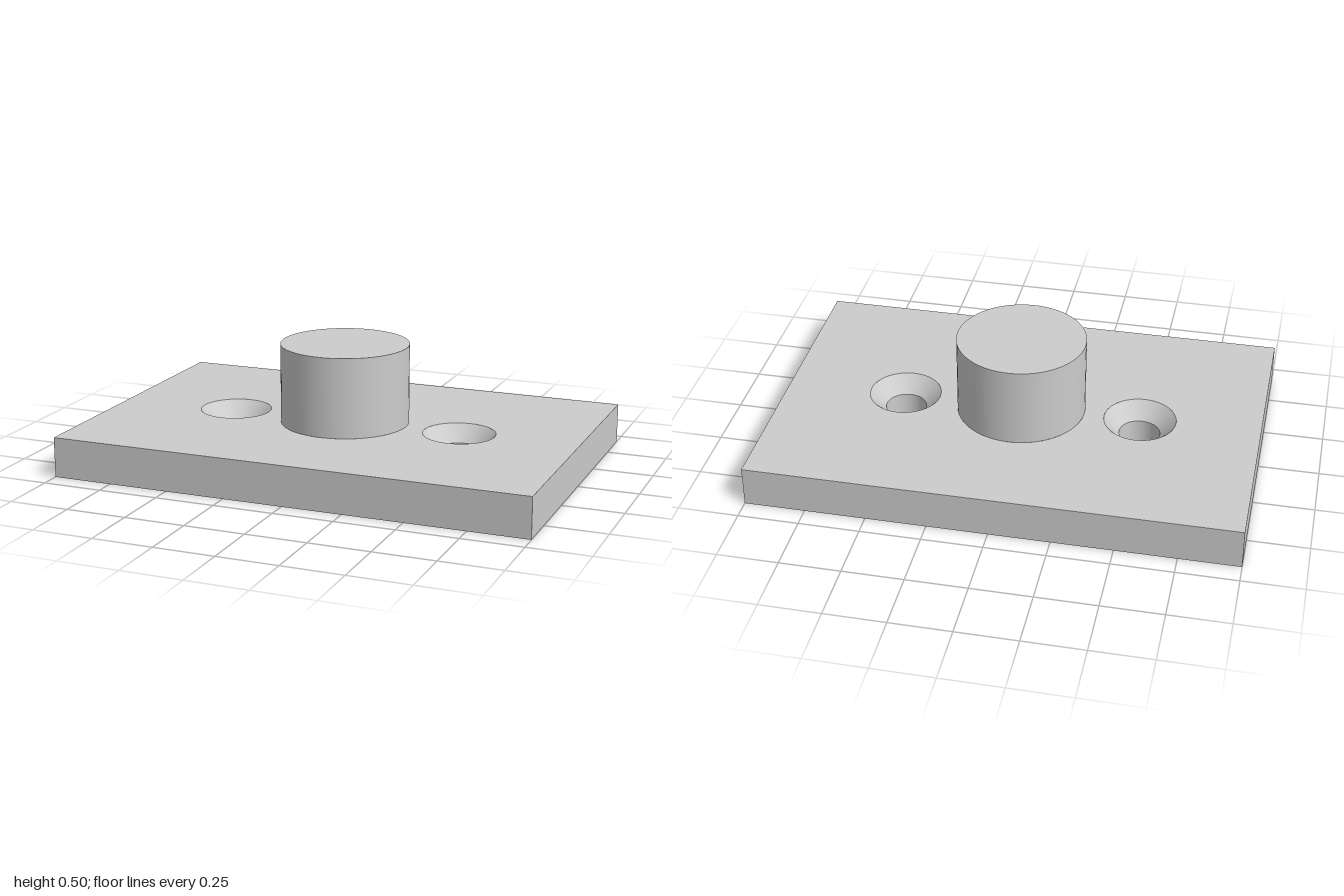
import * as THREE from 'three';

const W = 2, D = 1.333, T = 0.167;           // plate size
const BOSS_R = 0.267, BOSS_TOP = 0.5;
const HOLE_X = 0.5, BORE_R = 0.085, SINK_R = 0.15, SINK_Y = 0.1;
const SEG = 64;

export function createModel() {
  const group = new THREE.Group();
  const material = new THREE.MeshStandardMaterial({ color: 0xcccccc });

  const add = (name, geometry, parent = group) => {
    const mesh = new THREE.Mesh(geometry, material);
    mesh.name = name;
    parent.add(mesh);
    return mesh;
  };

  // Smooth wall of revolution; a falling profile faces inward
  const wall = (r0, y0, r1, y1) =>
    new THREE.LatheGeometry([new THREE.Vector2(r0, y0), new THREE.Vector2(r1, y1)], SEG);

  // Plate outline pierced by [x, radius] circles
  const face = (holes) => {
    const s = new THREE.Shape();
    s.moveTo(-W / 2, -D / 2).lineTo(W / 2, -D / 2).lineTo(W / 2, D / 2).lineTo(-W / 2, D / 2).closePath();
    for (const [x, r] of holes) s.holes.push(new THREE.Path().absarc(x, 0, r, 0, Math.PI * 2, true));
    return new THREE.ShapeGeometry(s, SEG);
  };

  // Base plate: top, bottom and four edges
  const plate = new THREE.Group();
  plate.name = 'basePlate';
  group.add(plate);
  add('plateTop', face([[-HOLE_X, SINK_R], [HOLE_X, SINK_R], [0, BOSS_R]])
    .rotateX(-Math.PI / 2).translate(0, T, 0), plate);
  add('plateBottom', face([[-HOLE_X, BORE_R], [HOLE_X, BORE_R]]).rotateX(Math.PI / 2), plate);
  for (let i = 0; i < 4; i++) {
    const [width, offset] = i % 2 ? [D, W / 2] : [W, D / 2];
    add('plateEdge', new THREE.PlaneGeometry(width, T)
      .translate(0, T / 2, offset).rotateY(i * Math.PI / 2), plate);
  }

  // Countersunk screw holes
  for (const side of [-1, 1]) {
    const hole = new THREE.Group();
    hole.name = side > 0 ? 'leftScrewHole' : 'rightScrewHole';
    hole.position.x = side * HOLE_X;
    group.add(hole);
    add('countersink', wall(SINK_R, T, BORE_R, SINK_Y), hole);
    add('bore', wall(BORE_R, SINK_Y, BORE_R, 0), hole);
  }

  // Central round boss
  const boss = new THREE.Group();
  boss.name = 'boss';
  group.add(boss);
  add('bossSide', wall(BOSS_R, T, BOSS_R, BOSS_TOP), boss);
  add('bossTop', new THREE.CircleGeometry(BOSS_R, SEG)
    .rotateX(-Math.PI / 2).translate(0, BOSS_TOP, 0), boss);

  return group;
}
